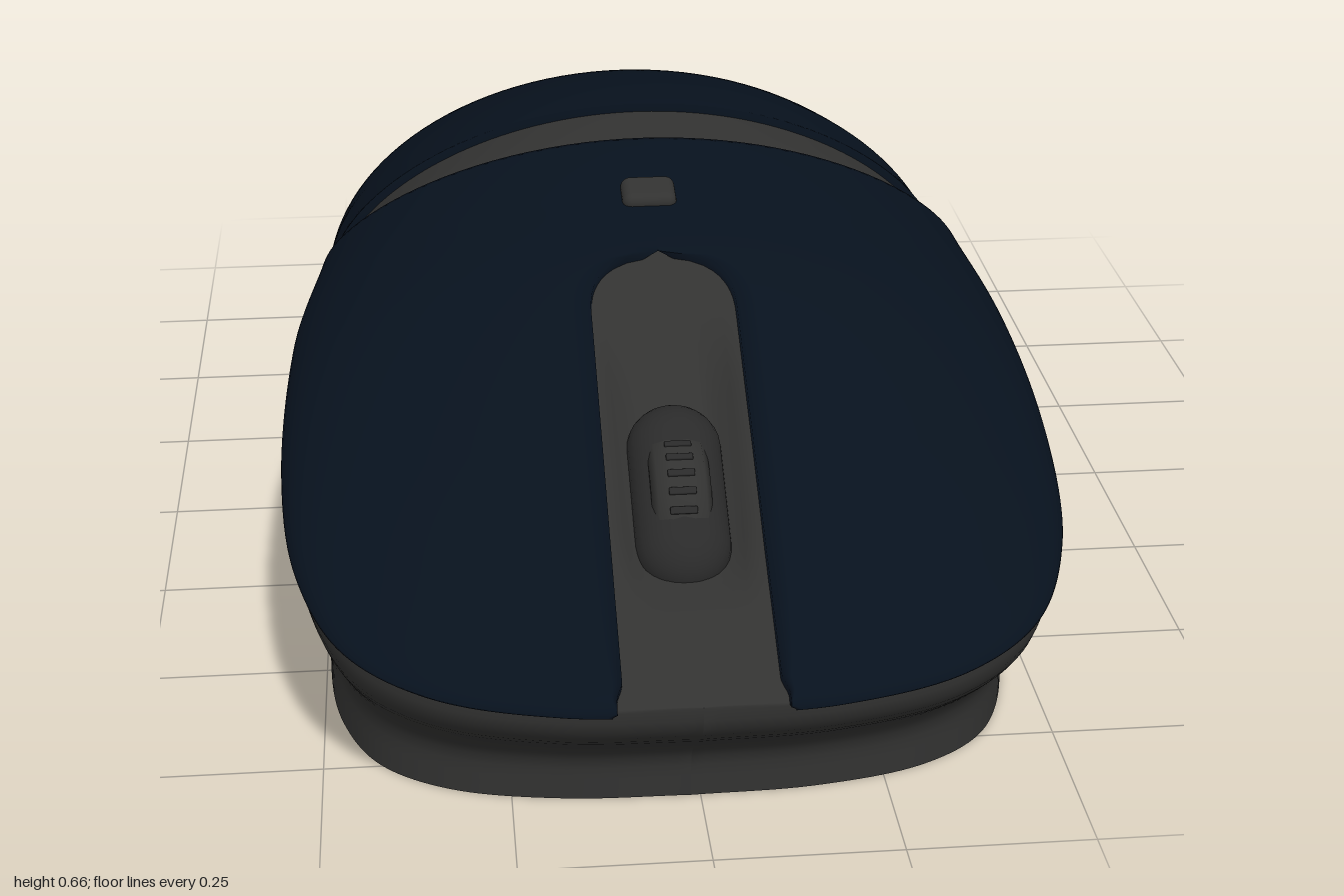
import * as THREE from 'three';
import { RoundedBoxGeometry } from 'three/addons/geometries/RoundedBoxGeometry.js';

const mat = (color) => new THREE.MeshStandardMaterial({ color });
const grey = mat(0x323231), dark = mat(0x2a2a2a), navy = mat(0x07111d), red = mat(0xa81208);
const { clamp, lerp, smoothstep } = THREE.MathUtils;

// Smooth interpolation through [key, value] pairs with ascending keys
function smoothTable(t) {
  const n = t.length - 1;
  const slope = (i) => {
    const a = t[Math.max(i - 1, 0)], b = t[Math.min(i + 1, n)];
    return (b[1] - a[1]) / (b[0] - a[0]);
  };
  return (x) => {
    x = clamp(x, t[0][0], t[n][0]);
    let i = 0;
    while (i < n - 1 && x > t[i + 1][0]) i++;
    const d = t[i + 1][0] - t[i][0], s = (x - t[i][0]) / d, s2 = s * s, s3 = s2 * s;
    return (2 * s3 - 3 * s2 + 1) * t[i][1] + (s3 - 2 * s2 + s) * d * slope(i)
      + (3 * s2 - 2 * s3) * t[i + 1][1] + (s3 - s2) * d * slope(i + 1);
  };
}

// Half outline in plan, front to rear
const rim = new THREE.CatmullRomCurve3([
  [0, 0.993], [0.18, 0.985], [0.34, 0.945], [0.44, 0.87], [0.498, 0.74], [0.52, 0.55], [0.508, 0.3], [0.472, 0.08],
  [0.47, -0.05], [0.485, -0.2], [0.492, -0.42], [0.487, -0.6], [0.443, -0.75], [0.33, -0.885], [0.17, -0.96], [0, -0.99],
].map(([x, z]) => new THREE.Vector3(x, 0, z)));

// Centre-line height, rim height, skirt flare, crown roundness and lower edge of the rear shell, all along z
const topY = smoothTable([[-0.99, 0.08], [-0.9, 0.205], [-0.8, 0.32], [-0.7, 0.415], [-0.6, 0.485], [-0.4, 0.575],
  [-0.2, 0.632], [-0.05, 0.652], [0.1, 0.642], [0.25, 0.61], [0.4, 0.565], [0.65, 0.425], [0.8, 0.335], [0.993, 0.225]]);
const rimY = smoothTable([[-1, 0.08], [-0.85, 0.085], [-0.75, 0.1], [-0.6, 0.15], [-0.45, 0.2], [-0.3, 0.26], [-0.15, 0.34],
  [0, 0.42], [0.1, 0.453], [0.55, 0.342], [0.993, 0.22]]);
const flare = smoothTable([[-0.85, 0], [-0.75, 0.01], [-0.6, 0.033], [-0.44, 0.052], [-0.2, 0.02], [0, 0], [1, 0]]);
const roundness = smoothTable([[-0.99, 0.62], [-0.6, 0.5], [-0.2, 0.55], [0.05, 0.7], [0.25, 0.65], [0.5, 0.55], [1, 0.55]]);
const shellEdge = smoothTable([[-0.99, 0.08], [-0.46, 0.08], [-0.438, 0.09], [-0.42, 0.2], [-0.38, 0.275], [-0.25, 0.34],
  [-0.1, 0.38], [-0.05, 0.43], [0, 0.5]]);

// Body surface: |a| from 0 to 1 is the crown, 1 to 2 the side wall down to the base
function surface(u, a) {
  const r = rim.getPoint(clamp(u, 0, 1)), A = Math.abs(a), z = r.z, yr = rimY(z);
  const p = new THREE.Vector3();
  if (A <= 1) {
    p.set(A * r.x, yr + (topY(z) - yr) * Math.pow(Math.max(1 - A * A, 0), roundness(z)), z);
  } else {
    const k = smoothstep(A - 1, 0.06, 0.78), y = yr * (2 - A), f = flare(z);
    const bulge = y > 0.08 ? Math.pow((yr - y) / Math.max(yr - 0.08, 0.01), 1.2) : y / 0.08;
    const inset = 0.07 * (1 - Math.min(f / 0.05, 1));
    p.set(r.x * (1 - inset * k) + f * bulge, y, z * (1 - (z > 0 ? 0.14 : 0.055) * k));
  }
  p.x = p.x * Math.sign(a) - 0.013 * smoothstep(z, -0.2, 0.3);
  return p;
}

// Body surface with the scoop around the scroll wheel
function bodyPoint(u, a) {
  const p = surface(u, a);
  if (Math.abs(a) < 1) {
    const along = smoothstep(p.z, 0.42, 0.56) * (1 - smoothstep(p.z, 0.74, 0.9));
    p.y -= 0.045 * along * (1 - smoothstep(Math.abs(p.x + 0.013), 0.05, 0.1));
  }
  return p;
}

function normalAt(u, a) {
  const e = 0.003;
  u = clamp(u, 0.006, 0.994);
  const da = surface(u, a + e).sub(surface(u, a - e));
  const du = surface(u + e, a).sub(surface(u - e, a));
  return da.cross(du).normalize();
}

function uAtZ(z) {
  let lo = 0, hi = 1;
  for (let i = 0; i < 30; i++) {
    const m = (lo + hi) / 2;
    if (rim.getPoint(m).z > z) lo = m; else hi = m;
  }
  return lo;
}

// Surface coordinate a at a given height on row u
function aAtY(u, y) {
  const z = rim.getPoint(u).z, yr = rimY(z), t = topY(z);
  if (y <= yr) return 2 - y / yr;
  return Math.sqrt(Math.max(1 - Math.pow(clamp((y - yr) / (t - yr), 0, 1), 1 / roundness(z)), 0));
}

function grid(rows) {
  const g = new THREE.BufferGeometry(), m = rows[0].length, index = [];
  for (let i = 0; i < rows.length - 1; i++) {
    for (let j = 0; j < m - 1; j++) {
      const a = i * m + j, b = a + 1, c = a + m, d = c + 1;
      index.push(a, b, c, b, d, c);
    }
  }
  g.setFromPoints(rows.flat());
  g.setIndex(index);
  g.computeVertexNormals();
  return g;
}

// Raised panel following the body; map(p, q) returns [u, a].
// The border ring sinks in, except along the centre line where two halves meet.
function panel(n, m, height, map) {
  const rows = [];
  for (let i = -1; i <= n + 1; i++) {
    const row = [];
    for (let j = -1; j <= m + 1; j++) {
      const [u, a] = map(clamp(i / n, 0, 1), clamp(j / m, 0, 1));
      const sunk = i < 0 || i > n || ((j < 0 || j > m) && a !== 0);
      row.push(surface(u, a).addScaledVector(normalAt(u, a), sunk ? -0.012 : height));
    }
    rows.push(row);
  }
  return grid(rows);
}

function pill(w, l, Path = THREE.Shape) {
  const s = new Path(), r = w / 2, h = l / 2 - r;
  s.absarc(0, h, r, 0, Math.PI);
  s.absarc(0, -h, r, Math.PI, Math.PI * 2);
  s.closePath();
  return s;
}

export function createModel() {
  const model = new THREE.Group();
  const add = (name, geometry, material, parent = model) => {
    const mesh = new THREE.Mesh(geometry, material);
    mesh.name = name;
    parent.add(mesh);
    return mesh;
  };

  // Body
  const cols = [];
  for (let j = 0; j < 14; j++) cols.push(-2 + j / 14);
  for (let j = -40; j <= 40; j++) cols.push(Math.sin((j / 40) * Math.PI / 2));
  for (let j = 1; j <= 14; j++) cols.push(1 + j / 14);
  const rows = Array.from({ length: 141 }, (_, i) => cols.map((a) => bodyPoint(i / 140, a)));
  add('body', grid(rows), grey);

  // Underside with sensor recess
  const outline = [];
  for (let i = 0; i <= 80; i++) outline.push(surface(i / 80, 2));
  for (let i = 79; i > 0; i--) outline.push(surface(i / 80, -2));
  const base = new THREE.Shape(outline.map((p) => new THREE.Vector2(p.x, p.z)));
  const sensorHole = pill(0.12, 0.22, THREE.Path);
  base.holes.push(new THREE.Path(sensorHole.getPoints(10).map((p) => new THREE.Vector2(p.x, p.y + 0.1))));
  add('underside', new THREE.ShapeGeometry(base).rotateX(Math.PI / 2), dark);
  const ring = pill(0.14, 0.24);
  ring.holes.push(sensorHole);
  const well = add('sensorWell', new THREE.ExtrudeGeometry(ring, { depth: 0.03, bevelEnabled: false }).rotateX(Math.PI / 2), grey);
  well.position.set(0, 0.031, 0.1);
  add('sensorFloor', new THREE.BoxGeometry(0.14, 0.01, 0.24), grey).position.set(0, 0.034, 0.1);
  add('sensorWindow', new THREE.BoxGeometry(0.05, 0.012, 0.16), red).position.set(0, 0.025, 0.1);

  // Front panels, split by the wheel channel
  const channel = (z) => {
    if (z < 0.38) return 0;
    return 0.1 * Math.pow(1 - Math.pow(Math.max(0.47 - z, 0) / 0.09, 2.4), 0.42) + 0.008 * smoothstep(z, 0.96, 0.985);
  };
  for (const side of [1, -1]) {
    const geometry = panel(190, 26, 0.012, (p, q) => {
      const t = side > 0 ? q : 1 - q;
      const u = lerp(0.042, uAtZ(0.105 - 0.03 * t * t), p);
      const r = rim.getPoint(u);
      const inner = Math.min(channel(r.z) / r.x, 0.99);
      return [u, side * lerp(inner, 1, Math.sin(t * Math.PI / 2))];
    });
    add(side > 0 ? 'leftFrontPanel' : 'rightFrontPanel', geometry, navy);
  }

  // Rear shell: the outer columns run down the wall where the shell reaches the skirt
  const rear = panel(150, 80, 0.012, (p, q) => {
    const s = q * 2 - 1, crown = Math.min(Math.abs(s) / 0.75, 1), skirt = Math.max((Math.abs(s) - 0.75) / 0.25, 0);
    const u = lerp(uAtZ(-0.012 - 0.04 * crown * crown), 1, p);
    const edge = aAtY(u, shellEdge(rim.getPoint(u).z)), top = Math.min(edge - 0.01, 1);
    return [u, Math.sign(s) * (top * Math.sin(crown * Math.PI / 2) + (edge - top) * skirt)];
  });
  add('rearShell', rear, navy);

  // Side buttons on the left flank: [z, y] corners, lower front, lower rear, upper rear, upper front
  const buttons = {
    forwardButton: [[0.475, 0.258], [0.288, 0.285], [0.298, 0.382], [0.54, 0.312]],
    backButton: [[0.272, 0.317], [0.08, 0.337], [0.035, 0.4], [0.28, 0.385]],
  };
  for (const [name, c] of Object.entries(buttons)) {
    const geometry = panel(16, 10, 0.014, (p, q) => {
      const at = (k) => lerp(lerp(c[3][k], c[2][k], p), lerp(c[0][k], c[1][k], p), q);
      const u = uAtZ(at(0));
      return [u, aAtY(u, at(1))];
    });
    add(name, geometry, grey);
  }

  // Scroll wheel in its surround, tilted with the slope
  const placeOnTop = (object, z, lift) => {
    const n = normalAt(uAtZ(z), 0.001);
    object.rotation.x = Math.atan2(n.z, n.y);
    object.position.copy(surface(uAtZ(z), 0.0001)).addScaledVector(n, lift);
    object.position.x = -0.015;
  };
  const wheel = new THREE.Group();
  wheel.name = 'scrollWheel';
  model.add(wheel);
  placeOnTop(wheel, 0.71, -0.035);
  add('wheelSurround', new THREE.CapsuleGeometry(0.064, 0.15, 8, 24).rotateX(Math.PI / 2).scale(1, 0.8, 1), dark, wheel);
  const tyre = [[0, -0.04], [0.11, -0.04], [0.124, -0.032], [0.13, -0.015], [0.13, 0.015], [0.124, 0.032], [0.11, 0.04], [0, 0.04]]
    .map(([x, y]) => new THREE.Vector2(x, y));
  add('wheelTyre', new THREE.LatheGeometry(tyre, 48).rotateZ(Math.PI / 2), grey, wheel).position.y = -0.065;
  for (let i = -2; i <= 2; i++) {
    const rib = add('wheelRib', new RoundedBoxGeometry(0.036, 0.006, 0.01, 2, 0.002), dark, wheel);
    rib.rotation.x = i * 0.2;
    rib.position.set(0, -0.065 + 0.13 * Math.cos(i * 0.2), 0.13 * Math.sin(i * 0.2));
  }

  // Small button behind the wheel
  placeOnTop(add('modeButton', new RoundedBoxGeometry(0.078, 0.04, 0.062, 4, 0.014), grey), 0.25, 0.006);

  return model;
}
